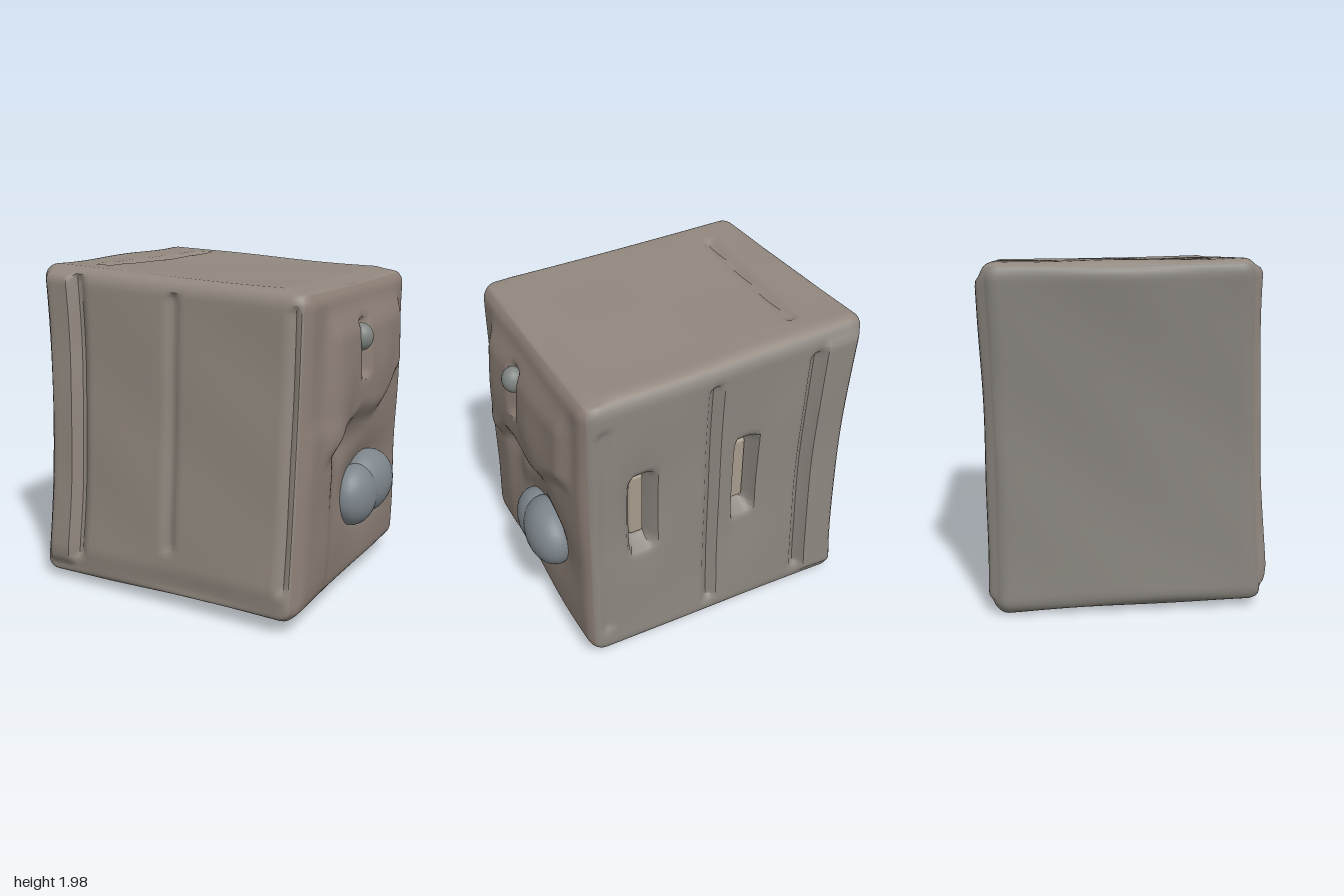
import * as THREE from 'three';
import { toCreasedNormals } from 'three/addons/utils/BufferGeometryUtils.js';
import { RoundedBoxGeometry } from 'three/addons/geometries/RoundedBoxGeometry.js';

const HX = 0.87, HY = 0.97, HZ = 0.79, R = 0.1;

// Skewed corners of the crate, in the order x-, x+ within z-, z+ within bottom, top
const corners = [
  [-1.01, 0.0, -0.67], [0.79, 0.085, -0.88], [-0.85, 0.04, 0.87], [0.93, 0.095, 0.75],
  [-0.975, 1.985, -0.71], [0.78, 1.915, -0.90], [-0.825, 2.0, 0.795], [0.92, 1.94, 0.62],
].map((c) => new THREE.Vector3(...c));

const smooth = THREE.MathUtils.smoothstep;
const groove = (t, c, w) => Math.max(0, 1 - Math.abs(t - c) / w);
const span = (t, a, b, s = 0.05) => smooth(t, a - s, a) * (1 - smooth(t, b, b + s));
const blob = (a, b, ca, cb, ra, rb) => Math.exp(-(((a - ca) / ra) ** 2) - ((b - cb) / rb) ** 2);

// Bends the straight local box (y from -HY to HY) into the skewed crate
function warp(p) {
  // faces sag a little between the flared corners
  const midX = 1 - (p.x / HX) ** 2, midY = 1 - (p.y / HY) ** 2, midZ = 1 - (p.z / HZ) ** 2;
  const sx = p.x + 0.04 * midY * (1 - smooth(p.x, -HX, 0));
  const sy = p.y * (1 - 0.008 * (midX + midZ));
  const sz = p.z * (1 - 0.025 * midY);
  const u = (sx / HX + 1) / 2, v = (sy / HY + 1) / 2, w = (sz / HZ + 1) / 2;
  const out = new THREE.Vector3();
  corners.forEach((c, i) => {
    out.addScaledVector(c, (i & 1 ? u : 1 - u) * (i & 2 ? w : 1 - w) * (i & 4 ? v : 1 - v));
  });
  return p.copy(out);
}

function warpGeometry(geo) {
  const pos = geo.attributes.position, p = new THREE.Vector3();
  for (let i = 0; i < pos.count; i++) {
    warp(p.fromBufferAttribute(pos, i));
    pos.setXYZ(i, p.x, p.y, p.z);
  }
  geo.computeVertexNormals();
  return geo;
}

// Outward relief of each face, in the group order of BoxGeometry
const reliefs = [
  // +x face: uneven upper shelf, raised rim and a hollow around the knob
  ({ y, z }) => {
    const edge = 0.13 - 0.22 * z + 0.05 * Math.sin(9 * z);
    const upper = smooth(y, edge - 0.06, edge + 0.1) * span(y, -0.2, 0.66, 0.22);
    let d = 0.04 * (1 - (z / HZ) ** 2) * (1 - (y / HY) ** 2);
    d += 0.05 * upper * span(z, -0.52, 0.46, 0.14);
    d += 0.025 * blob(y, z, 0.42, -0.2, 0.2, 0.18) + 0.02 * blob(y, z, 0.45, 0.4, 0.3, 0.15);
    d -= 0.03 * blob(y, z, 0.0, 0.15, 0.1, 0.3);
    d -= 0.05 * groove(z, 0.09, 0.09) * span(y, 0.42, 0.72);
    d -= 0.1 * blob(y, z, -0.33, -0.13, 0.25, 0.34);
    d -= 0.025 * blob(y, z, -0.1, 0.3, 0.3, 0.08);
    return d + 0.012 * span(z, 0.45, 0.66, 0.1) * span(y, -0.8, 0.1, 0.15);
  },
  // -x face: plain and slightly hollow
  ({ y, z }) => -0.012 * (1 - (y / HY) ** 2) * (1 - 0.4 * (z / HZ) ** 2),
  // top and bottom: edge band lines
  ({ x, z }) => -0.03 * groove(x, -0.53 - 0.07 * z, 0.05) * span(z, -0.55, 0.5)
    - 0.015 * smooth(x, 0.68, 0.78),
  ({ x, z }) => -0.03 * groove(x, -0.53 - 0.07 * z, 0.05) * span(z, -0.6, 0.6),
  // front: left post, plank seams, right trim and a softened sill
  ({ x, y }) => 0.03 * span(x, -0.8, -0.65, 0.05) * span(y, -0.85, 0.92)
    - 0.04 * groove(x, -0.59, 0.06) * span(y, -0.8, 0.9)
    - 0.035 * groove(x, 0.06, 0.05) * span(y, -0.65, 0.85)
    - 0.03 * groove(x, 0.8, 0.05) * span(y, -0.75, 0.85)
    - 0.02 * (1 - smooth(y, -0.9, -0.76)),
  // back: posts, plank seams and two hand slots with scooped ends
  ({ x, y }) => {
    let d = 0.025 * span(x, -0.82, -0.61, 0.04) * span(y, -0.85, 0.85);
    d -= 0.05 * (groove(x, -0.55, 0.05) + groove(x, 0.1, 0.05)) * span(y, -0.8, 0.8);
    d -= 0.03 * groove(x, 0.76, 0.05) * span(y, -0.75, 0.75);
    for (const s of slots) {
      d -= 0.11 * span(x, s - 0.05, s + 0.05, 0.035) * span(y, -0.14, 0.31, 0.09);
      d -= 0.035 * blob(x, y, s, 0.08, 0.12, 0.4);
    }
    return d;
  },
];
const slots = [0.53, -0.13];
const faces = [
  ['carvedSide', 0x8b7e75], ['plainSide', 0x86817b], ['topPanel', 0x91877e],
  ['bottomPanel', 0x847d76], ['frontPlanks', 0x90877e], ['backPlanks', 0x8d8780],
];

// Rounded, carved shell, cut into one mesh per face
function addShell(group) {
  const N = 72;
  const geo = new THREE.BoxGeometry(HX * 2, HY * 2, HZ * 2, N, N, N);
  const pos = geo.attributes.position, index = geo.index;
  const p = new THREE.Vector3(), inner = new THREE.Vector3();
  const lim = new THREE.Vector3(HX - R, HY - R, HZ - R), low = lim.clone().negate();
  const done = new Set();
  geo.groups.forEach((g, f) => {
    for (let k = g.start; k < g.start + g.count; k++) {
      const i = index.getX(k);
      if (done.has(i)) continue;
      done.add(i);
      p.fromBufferAttribute(pos, i);
      const axis = 'xyz'[f >> 1];
      // relief fades out towards the face edges
      let fade = 1;
      for (const [a, h] of [['x', HX], ['y', HY], ['z', HZ]]) {
        if (a !== axis) fade *= smooth(h - Math.abs(p[a]), 0, 0.08);
      }
      const wobble = 0.006 * Math.sin(5 * p.x + 3 * p.y) * Math.sin(6 * p.z + 4 * p.y + 1);
      const d = (reliefs[f](p) + wobble) * fade;
      inner.copy(p).clamp(low, lim);
      p.sub(inner).setLength(R).add(inner);
      p[axis] += f % 2 ? -d : d;
      warp(p);
      pos.setXYZ(i, p.x, p.y, p.z);
    }
  });
  const shell = toCreasedNormals(geo, 0.7);
  geo.groups.forEach((g, f) => {
    const part = new THREE.BufferGeometry();
    for (const name of ['position', 'normal']) {
      const a = shell.attributes[name].array.slice(g.start * 3, (g.start + g.count) * 3);
      part.setAttribute(name, new THREE.BufferAttribute(a, 3));
    }
    add(group, faces[f][0], part, faces[f][1]);
  });
}

function add(group, name, geo, color) {
  const mesh = new THREE.Mesh(geo, new THREE.MeshStandardMaterial({ color }));
  mesh.name = name;
  group.add(mesh);
  return mesh;
}

function lump(group, name, radii, at, color) {
  const mesh = add(group, name, new THREE.SphereGeometry(1, 28, 20), color);
  mesh.scale.set(...radii);
  mesh.position.set(...at);
}

export function createModel() {
  const group = new THREE.Group();
  group.name = 'crate';
  addShell(group);

  // Pale inserts inside the hand slots
  slots.forEach((s, i) => {
    const geo = new RoundedBoxGeometry(0.09, 0.44, 0.06, 3, 0.02);
    geo.translate(s, 0.085, -HZ + 0.13);
    add(group, `slotInsert${i + 1}`, warpGeometry(geo), 0xa79c8c);
  });

  // Two-lobed knob and small stud on the carved side
  const knob = new THREE.Group();
  knob.name = 'knob';
  group.add(knob);
  lump(knob, 'frontLobe', [0.13, 0.19, 0.19], [0.86, 0.62, -0.1], 0x7d858b);
  lump(knob, 'backLobe', [0.15, 0.2, 0.24], [0.845, 0.655, -0.28], 0x7d858b);
  lump(group, 'stud', [0.07, 0.08, 0.07], [0.91, 1.61, -0.02], 0x7f8582);
  return group;
}
